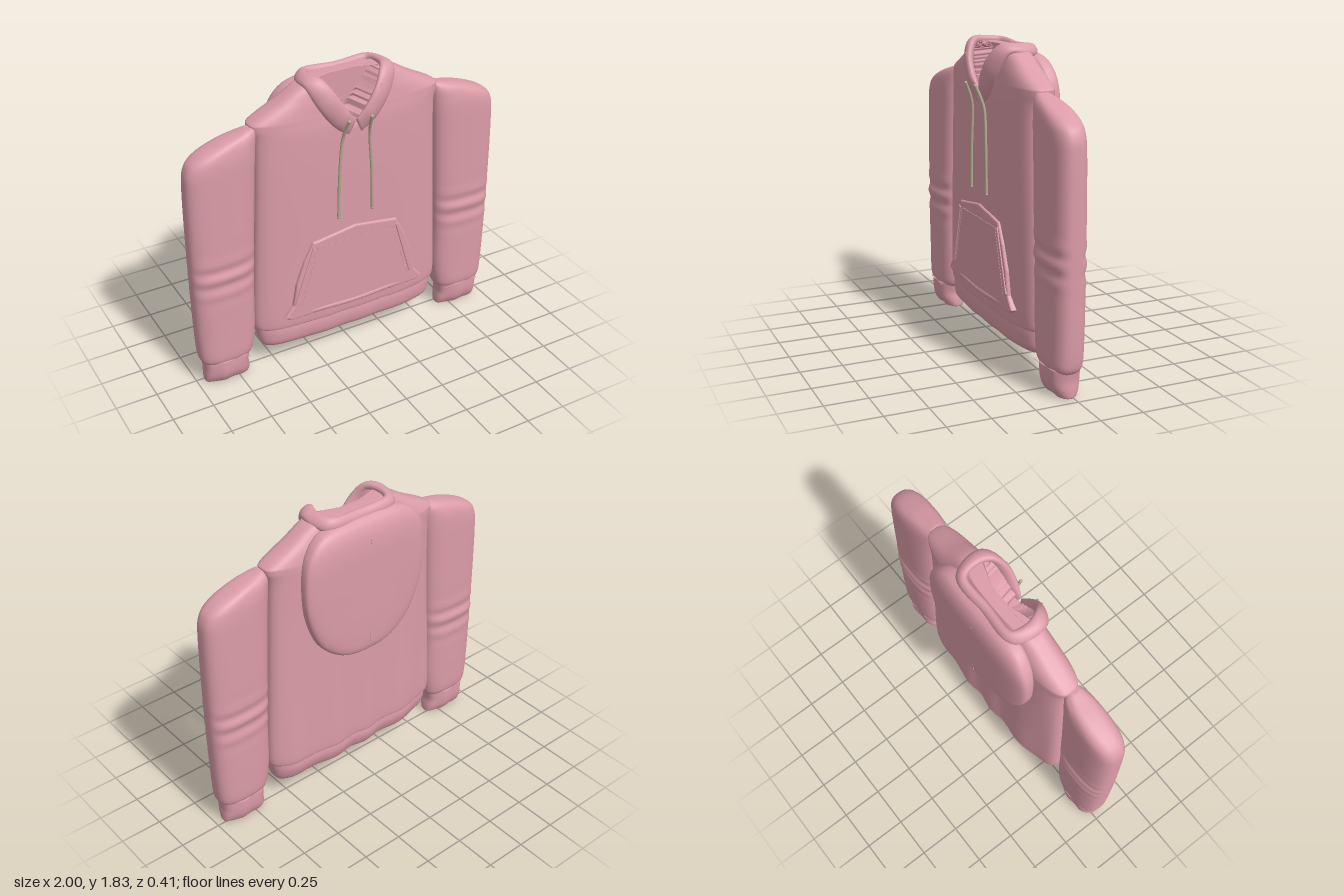
import * as THREE from 'three';
import { mergeGeometries } from 'three/addons/utils/BufferGeometryUtils.js';

const V = (x, y, z) => new THREE.Vector3(x, y, z);

// Closed skin over a list of equal rings, capped at both ends
function skin(rings) {
  const n = rings[0].length, pos = [], idx = [];
  rings.forEach(r => r.forEach(p => pos.push(p.x, p.y, p.z)));
  for (let i = 0; i < rings.length - 1; i++) {
    for (let j = 0; j < n; j++) {
      const a = i * n + j, b = i * n + (j + 1) % n, c = a + n, d = b + n;
      idx.push(a, c, b, b, c, d);
    }
  }
  [0, rings.length - 1].forEach((row, end) => {
    const c = rings[row].reduce((s, p) => s.add(p), V(0, 0, 0)).divideScalar(n);
    const k = pos.length / 3;
    pos.push(c.x, c.y, c.z);
    for (let j = 0; j < n; j++) {
      const a = row * n + j, b = row * n + (j + 1) % n;
      if (end) idx.push(k, b, a); else idx.push(k, a, b);
    }
  });
  const g = new THREE.BufferGeometry();
  g.setAttribute('position', new THREE.Float32BufferAttribute(pos, 3));
  g.setIndex(idx);
  g.computeVertexNormals();
  return g;
}

// Smoothly interpolated rows of numbers
function smoothRows(rows, sub) {
  const out = [], at = i => rows[Math.max(0, Math.min(rows.length - 1, i))];
  for (let i = 0; i < rows.length - 1; i++) {
    for (let s = 0; s < sub; s++) {
      const t = s / sub;
      out.push(rows[i].map((p1, k) => {
        const p0 = at(i - 1)[k], p2 = at(i + 1)[k], p3 = at(i + 2)[k];
        return p1 + 0.5 * t * (p2 - p0 + t * (2 * p0 - 5 * p1 + 4 * p2 - p3 + t * (3 * (p1 - p2) + p3 - p0)));
      }));
    }
  }
  out.push(rows[rows.length - 1]);
  return out;
}

// Padded cloth form from rows [y, xMin, xMax, zFront, zBack], bottom to top
function padded(rows, power, warp = () => {}, sub = 6, seg = 80) {
  return skin(smoothRows(rows, sub).map(([y, x0, x1, zf, zb]) => {
    const ring = [];
    for (let j = 0; j < seg; j++) {
      const a = j / seg * Math.PI * 2, c = Math.cos(a);
      const s = Math.pow(Math.max(0, 1 - Math.pow(Math.abs(c), power)), 1 / power) * Math.sign(Math.sin(a));
      const p = V((x0 + x1) / 2 + c * (x1 - x0) / 2, y, (zf + zb) / 2 + s * (zf - zb) / 2);
      warp(p, s);
      ring.push(p);
    }
    return ring;
  }));
}
const symmetric = rows => rows.map(([y, w, zf, zb]) => [y, -w, w, zf, zb]);

// Flat panel with softened edges
function panel(points, z, depth, bevel) {
  const g = new THREE.ExtrudeGeometry(new THREE.Shape(points.map(p => new THREE.Vector2(...p))),
    { depth, bevelThickness: bevel, bevelSize: bevel, bevelOffset: -bevel, bevelSegments: 3 });
  return g.translate(0, 0, z);
}

// Row of small stitches between two points
function stitches(a, b) {
  const n = Math.round(a.distanceTo(b) / 0.018), parts = [];
  const angle = Math.atan2(b.y - a.y, b.x - a.x);
  for (let i = 0; i <= n; i++) {
    const p = a.clone().lerp(b, i / n);
    parts.push(new THREE.BoxGeometry(0.009, 0.004, 0.005).rotateZ(angle).translate(p.x, p.y, p.z));
  }
  return mergeGeometries(parts);
}

export function createModel() {
  const model = new THREE.Group();
  model.name = 'hoodedSweatshirt';
  const pink = new THREE.MeshStandardMaterial({ color: 0xdb9ca8 });
  pink.name = 'pinkFabric';
  const cordColor = new THREE.MeshStandardMaterial({ color: 0xb5ab90 });
  cordColor.name = 'beigeCord';
  const add = (name, geometry, material = pink) => {
    const m = new THREE.Mesh(geometry, material);
    m.name = name;
    model.add(m);
  };

  // Soft vertical folds, strongest near the bottom
  const folds = (p, s) => {
    const fade = Math.max(0, 1 - p.y / 1.3) * Math.abs(s);
    p.z += fade * (s < 0 ? 0.011 : 0.003) * Math.sin(p.x * 23 + 0.6 * Math.sin(p.x * 9));
  };

  // Body, sunken inside the V of the neck
  add('body', padded(symmetric([
    [0.27, 0.60, 0.13, -0.115], [0.33, 0.625, 0.14, -0.125], [0.7, 0.61, 0.14, -0.12],
    [1.2, 0.585, 0.14, -0.115], [1.5, 0.575, 0.135, -0.115], [1.6, 0.595, 0.125, -0.11],
    [1.635, 0.575, 0.12, -0.105], [1.71, 0.43, 0.11, -0.095], [1.78, 0.31, 0.095, -0.08],
    [1.805, 0.22, 0.06, -0.07]]), 3.2, (p, s) => {
    folds(p, s);
    if (p.z > 0 && Math.abs(p.x) < (p.y - 1.53) * 0.68) p.z = Math.min(p.z, 0);
  }, 8, 112));

  // Gathered bottom band
  add('hem', padded(symmetric([
    [0.13, 0.54, 0.06, -0.03], [0.138, 0.565, 0.095, -0.07], [0.17, 0.585, 0.125, -0.1],
    [0.23, 0.598, 0.135, -0.12], [0.285, 0.605, 0.13, -0.118]]), 3.2, folds));

  // Sleeves and cuffs
  const mirrorRow = s => ([y, a, b, f, k]) => s > 0 ? [y, a, b, f, k] : [y, -b, -a, f, k];
  for (const [side, s] of [['left', 1], ['right', -1]]) {
    const wrinkles = (p, q) => {
      const band = Math.exp(-Math.pow((p.y - 0.76) / 0.13, 2));
      p.z += q * band * 0.008 * Math.sin((p.y + 0.03 * Math.abs(p.x)) * 58);
    };
    add(side + 'Sleeve', padded([
      [0.155, 0.67, 0.96, 0.10, -0.05], [0.2, 0.645, 0.98, 0.12, -0.075], [0.35, 0.625, 0.99, 0.122, -0.08],
      [0.6, 0.62, 0.995, 0.124, -0.08], [0.75, 0.613, 0.997, 0.124, -0.08], [0.9, 0.605, 0.998, 0.124, -0.08],
      [1.3, 0.585, 0.995, 0.122, -0.078], [1.44, 0.575, 0.98, 0.12, -0.075], [1.51, 0.57, 0.92, 0.112, -0.068],
      [1.565, 0.565, 0.79, 0.095, -0.05], [1.6, 0.565, 0.66, 0.07, -0.02], [1.612, 0.575, 0.615, 0.05, 0]
    ].map(mirrorRow(s)), 2.7, wrinkles, 8, 64));
    add(side + 'Cuff', padded([
      [0.01, 0.68, 0.945, 0.055, -0.01], [0.018, 0.668, 0.955, 0.08, -0.04], [0.06, 0.67, 0.957, 0.105, -0.062],
      [0.11, 0.677, 0.955, 0.115, -0.07], [0.175, 0.665, 0.963, 0.115, -0.07]
    ].map(mirrorRow(s)), 2.6, p => { p.z += 0.004 * Math.sin(p.x * 50); }, 5, 56));
    add(side + 'CuffStitching', stitches(V(s * 0.7, 0.165, 0.118), V(s * 0.93, 0.162, 0.1)));
  }

  // Hood lying on the back
  add('hood', padded(symmetric([
    [0.93, 0.06, -0.125, -0.17], [0.94, 0.13, -0.11, -0.182], [0.975, 0.22, -0.08, -0.193], [1.05, 0.31, -0.07, -0.198],
    [1.15, 0.37, -0.07, -0.2], [1.3, 0.417, -0.07, -0.2], [1.45, 0.43, -0.07, -0.2],
    [1.6, 0.415, -0.06, -0.198], [1.69, 0.37, -0.05, -0.188], [1.75, 0.3, -0.05, -0.165],
    [1.78, 0.2, -0.06, -0.13]]), 3.4));
  add('hoodSeam', stitches(V(0, 1.0, -0.197), V(0, 1.66, -0.194)));

  // Overlapping neckline, swept between an outer and an inner edge
  const mirrored = pts => [...pts, ...pts.slice(0, -1).reverse().map(([x, y, z]) => [-x, y, z])];
  const edge = pts => new THREE.CatmullRomCurve3(mirrored(pts).map(p => V(...p)));
  const outer = edge([[0.045, 1.465, 0.125], [0.14, 1.55, 0.13], [0.225, 1.67, 0.12], [0.28, 1.785, 0.07],
    [0.28, 1.775, -0.03], [0.23, 1.75, -0.1], [0, 1.74, -0.105]]);
  const inner = edge([[0.003, 1.56, 0.145], [0.065, 1.645, 0.16], [0.125, 1.74, 0.15], [0.175, 1.815, 0.1],
    [0.21, 1.825, 0.01], [0.19, 1.825, -0.085], [0, 1.815, -0.09]]);
  const rings = [], steps = 96;
  for (let i = 0; i <= steps; i++) {
    const t = i / steps, o = outer.getPoint(t), q = inner.getPoint(t);
    const c = o.clone().add(q).multiplyScalar(0.5), a = o.clone().sub(q).multiplyScalar(0.5);
    const dir = outer.getTangent(t).add(inner.getTangent(t));
    const thick = 0.028 * Math.min(1, 0.45 + Math.min(t, 1 - t) * 8);
    const b = a.clone().cross(dir).normalize().multiplyScalar(thick);
    rings.push(Array.from({ length: 24 }, (_, j) => {
      const w = j / 24 * Math.PI * 2;
      return c.clone().addScaledVector(a, Math.cos(w)).addScaledVector(b, Math.sin(w));
    }));
  }
  add('collar', skin(rings));

  // Front pocket with rolled bottom and slanted openings
  const half = [[0, 0.88], [0.28, 0.838], [0.34, 0.72], [0.39, 0.58], [0.415, 0.44], [0.47, 0.37], [0.44, 0.345], [0, 0.335]];
  add('pocket', panel([...half, ...half.slice(1, -1).reverse().map(([x, y]) => [-x, y])], 0.09, 0.051, 0.012));
  add('pocketRoll', new THREE.TubeGeometry(new THREE.CatmullRomCurve3(
    [V(-0.43, 0.36, 0.125), V(-0.25, 0.362, 0.137), V(0, 0.352, 0.139), V(0.25, 0.362, 0.137), V(0.43, 0.36, 0.125)]),
    40, 0.02, 12));
  for (const [side, s] of [['left', 1], ['right', -1]]) {
    add(side + 'PocketOpening', panel([[0.27, 0.8], [0.285, 0.81], [0.408, 0.45], [0.375, 0.435]]
      .map(([x, y]) => [s * x, y]), 0.13, 0.026, 0.004));
    add(side + 'PocketStitching', stitches(V(s * 0.25, 0.79, 0.154), V(s * 0.36, 0.44, 0.154)));
    add(side + 'CollarStitching', stitches(V(s * 0.03, 1.575, 0.158), V(s * 0.15, 1.745, 0.162)));

    // Drawcord
    add(side + 'Cord', new THREE.TubeGeometry(new THREE.CatmullRomCurve3([V(s * 0.072, 1.585, 0.196),
      V(s * 0.08, 1.52, 0.168), V(s * 0.088, 1.45, 0.149), V(s * 0.105, 1.22, 0.147), V(s * 0.112, 0.96, 0.147)]),
      40, 0.009, 10), cordColor);
    for (const [y, x, z] of [[1.585, 0.072, 0.196], [0.96, 0.112, 0.147]])
      add(side + 'CordTip', new THREE.SphereGeometry(0.0105, 12, 8).translate(s * x, y, z), cordColor);
  }
  add('pocketTopStitching', stitches(V(-0.25, 0.8, 0.154), V(0.25, 0.8, 0.154)));
  return model;
}
